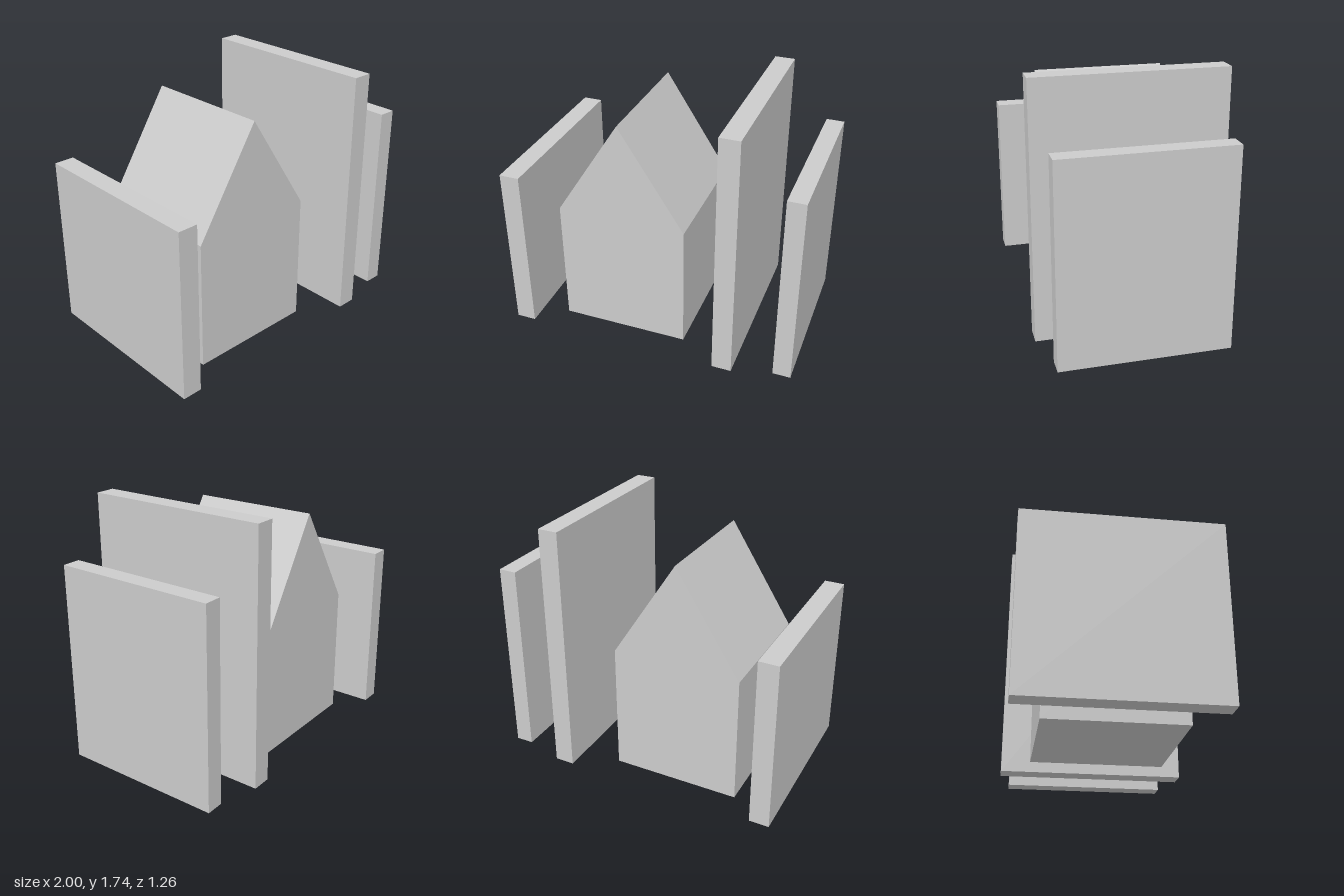
import * as THREE from 'three';

export function createModel() {
  const group = new THREE.Group();
  const material = new THREE.MeshStandardMaterial({ color: 0xcccccc, flatShading: true });

  function add(name, geometry, x, y, z) {
    const mesh = new THREE.Mesh(geometry, material);
    mesh.name = name;
    mesh.position.set(x, y, z);
    group.add(mesh);
  }

  // Gabled house: a pentagon profile extruded front to back
  const half = 0.445, eaves = 0.895, ridge = 1.59, depth = 0.89;
  const profile = new THREE.Shape([
    new THREE.Vector2(-half, 0),
    new THREE.Vector2(half, 0),
    new THREE.Vector2(half, eaves),
    new THREE.Vector2(0, ridge),
    new THREE.Vector2(-half, eaves),
  ]);
  add('house', new THREE.ExtrudeGeometry(profile, { depth, bevelEnabled: false }), -0.24, 0, -depth / 2);

  // Upright slabs beside the house: name, x range, y range, depth
  const slabs = [
    ['rightWall', -1, -0.865, 0.014, 1.19, 1.26],
    ['tallLeftWall', 0.475, 0.61, 0.006, 1.74, 1.26],
    ['outerLeftWall', 0.878, 1, 0.014, 1.368, 1.12],
  ];
  for (const [name, x0, x1, y0, y1, d] of slabs) {
    add(name, new THREE.BoxGeometry(x1 - x0, y1 - y0, d), (x0 + x1) / 2, (y0 + y1) / 2, 0);
  }

  return group;
}
